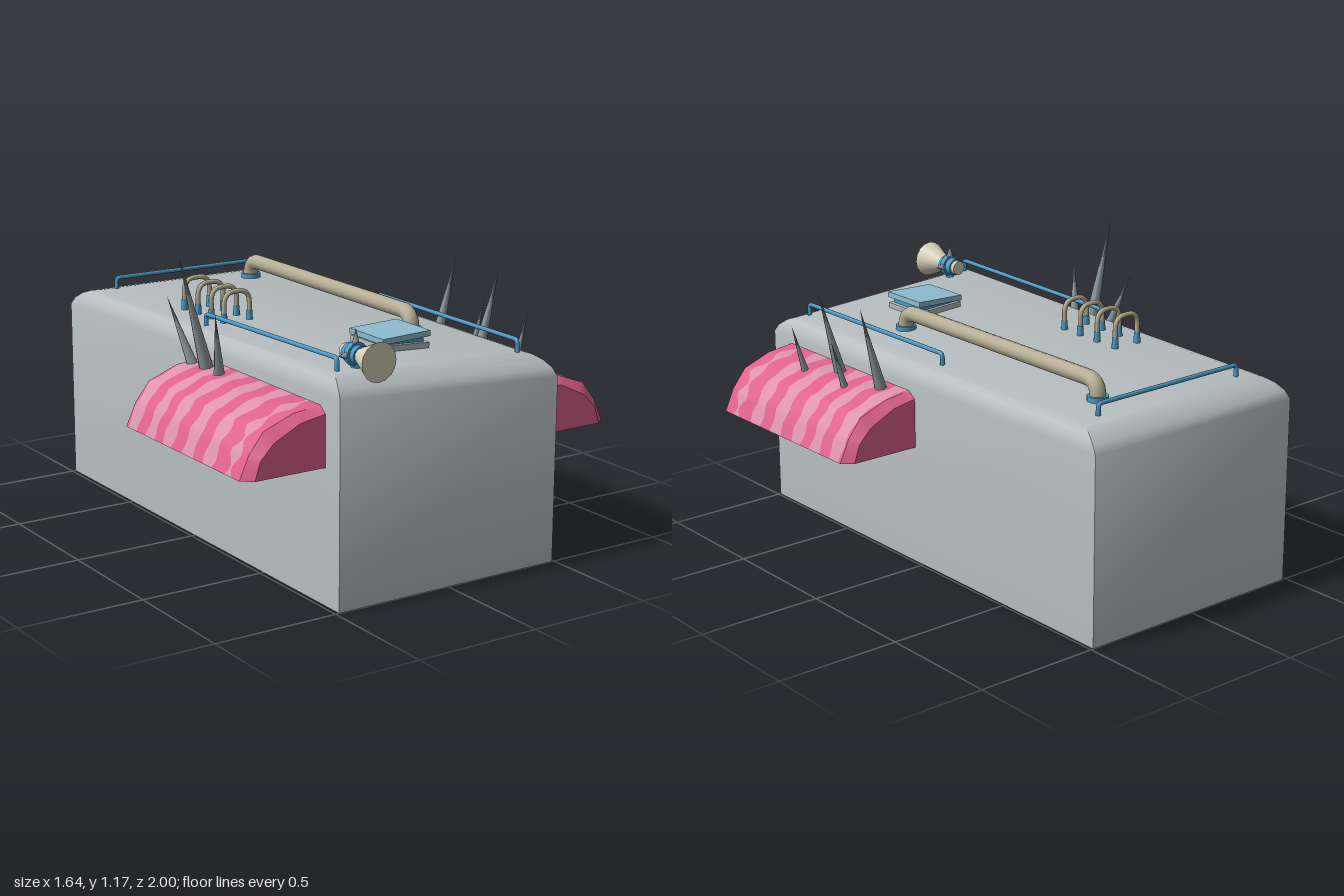
import * as THREE from 'three';
import { toCreasedNormals } from 'three/addons/utils/BufferGeometryUtils.js';

const V = (x, y, z) => new THREE.Vector3(x, y, z);
const paint = (name, color, side = THREE.FrontSide) => {
  const m = new THREE.MeshStandardMaterial({ color, side });
  m.name = name;
  return m;
};

// Height of the slightly twisted roof
const roof = (x, z) => 0.81 + ((z + 1) / 2) * (0.05 - 0.06 * (x + 0.485) / 0.975);

export function createModel() {
  const group = new THREE.Group();
  const grey = paint('hullGrey', 0xb6bdbf);
  const pink = paint('pink', 0xe0628c, THREE.DoubleSide);
  const palePink = paint('palePink', 0xde93ad, THREE.DoubleSide);
  const blue = paint('trimBlue', 0x4b9ac4);
  const lidBlue = paint('lidBlue', 0x8dbccf);
  const beige = paint('pipeBeige', 0xb5ad94);
  const cream = paint('hornCream', 0xd6d2b9);
  const steel = paint('spikeSteel', 0x8c999d);

  const add = (name, geometry, material, parent = group) => {
    const m = new THREE.Mesh(geometry, material);
    m.name = name;
    parent.add(m);
    return m;
  };
  // Cylinder or cone from point a to point b
  const rod = (name, a, b, r0, r1, mat, sides = 12, parent = group) => {
    const d = b.clone().sub(a);
    const m = add(name, new THREE.CylinderGeometry(r1, r0, d.length(), sides), mat, parent);
    m.position.copy(a).add(b).multiplyScalar(0.5);
    m.quaternion.setFromUnitVectors(V(0, 1, 0), d.normalize());
    return m;
  };
  // Tube along a polyline whose corners are rounded by radius c
  const bentTube = (name, pts, c, r, mat, sides, parent = group) => {
    const path = new THREE.CurvePath();
    let last = pts[0];
    for (let i = 1; i < pts.length - 1; i++) {
      const p = pts[i];
      const a = p.clone().add(pts[i - 1].clone().sub(p).setLength(c));
      const b = p.clone().add(pts[i + 1].clone().sub(p).setLength(c));
      path.add(new THREE.LineCurve3(last, a));
      path.add(new THREE.QuadraticBezierCurve3(a, p, b));
      last = b;
    }
    path.add(new THREE.LineCurve3(last, pts[pts.length - 1]));
    return add(name, new THREE.TubeGeometry(path, 96, r, sides), mat, parent);
  };

  // Hull: rectangular rings stacked up to a rounded, sloping roof
  const levels = [[0, 0, null], [0, 0, -0.075], [0.008, 0.022, -0.045], [0.025, 0.06, -0.02],
    [0.045, 0.1, -0.006], [0.07, 0.14, 0]];
  const pos = [], idx = [];
  for (const [ix, iz, drop] of levels) {
    const x0 = -0.485 + ix, x1 = 0.49 - ix, z = 1 - iz;
    for (const [x, zz] of [[x0, z], [x1, z], [x1, -z], [x0, -z]])
      pos.push(x, drop === null ? 0 : roof(x, zz) + drop, zz);
  }
  for (let l = 0; l < levels.length - 1; l++)
    for (let k = 0; k < 4; k++) {
      const a = l * 4 + k, b = l * 4 + (k + 1) % 4;
      idx.push(a, b, b + 4, a, b + 4, a + 4);
    }
  const t = (levels.length - 1) * 4;
  idx.push(t, t + 1, t + 2, t, t + 2, t + 3, 0, 2, 1, 0, 3, 2);
  const hull = new THREE.BufferGeometry();
  hull.setAttribute('position', new THREE.Float32BufferAttribute(pos, 3));
  hull.setIndex(idx);
  add('hull', toCreasedNormals(hull, 0.65), grey);

  // Fenders: striped arched shells, open underneath, with closed ends
  const outer = [[0.48, 0.7], [0.6, 0.685], [0.72, 0.64], [0.78, 0.565], [0.82, 0.477]];
  const inner = [[0.48, 0.675], [0.59, 0.656], [0.7, 0.602], [0.755, 0.546], [0.778, 0.477]];
  const bands = [[0.12, 0.034, 0.15], [0.25, 0.03, 0.2], [0.375, 0.034, 0.2],
    [0.52, 0.036, 0.15], [0.66, 0.034, 0.2], [0.8, 0.02, 0.8]];
  const SUB = 5;
  const refine = (pts) => {
    const out = [];
    for (let i = 0; i < 4; i++)
      for (let k = 0; k < SUB; k++)
        out.push([0, 1].map((c) => pts[i][c] + (pts[i + 1][c] - pts[i][c]) * k / SUB));
    out.push(pts[4]);
    return out;
  };
  const makeFender = (s, lift, name) => {
    const fender = new THREE.Group();
    fender.name = name;
    group.add(fender);
    const o = refine(outer), n = refine(inner), cols = o.length;
    const rows = [[n, () => 0.04], [o, () => 0.075]];
    for (const [c, w, amp] of bands)
      for (const e of [-1, 1])
        rows.push([o, (i) => c + e * w * (1 + amp * Math.sin(i * 1.1 + c * 20))]);
    rows.push([o, () => 0.875], [n, () => 0.91]);
    const p = [], f = [], g = new THREE.BufferGeometry();
    for (const [prof, z] of rows)
      prof.forEach(([x, y], i) => p.push(s * x, y + lift, z(i)));
    for (let j = 0; j < rows.length - 1; j++) {
      const start = f.length;
      for (let i = 0; i < cols - 1; i++) {
        const a = j * cols + i, b = a + 1, c = a + cols, d = c + 1;
        if (s > 0) f.push(a, c, b, b, c, d);
        else f.push(a, b, c, b, d, c);
      }
      const pale = j >= 2 && j < rows.length - 2 && j % 2 === 0;
      g.addGroup(start, f.length - start, pale ? 1 : 0);
    }
    g.setAttribute('position', new THREE.Float32BufferAttribute(p, 3));
    g.setIndex(f);
    add('fenderShell', toCreasedNormals(g, 0.65), [pink, palePink], fender);
    const shape = new THREE.Shape([...inner, [0.48, 0.477]].map(([x, y]) => new THREE.Vector2(s * x, y + lift)));
    for (const z of [0.04, 0.91]) {
      const end = add('fenderEnd', new THREE.ShapeGeometry(shape), pink, fender);
      end.position.z = z;
      if (z < 0.5) { end.rotation.y = Math.PI; end.scale.x = -1; }
    }
  };
  makeFender(1, 0, 'leftFender');
  makeFender(-1, 0.04, 'rightFender');

  // Spikes: base, tip, radius
  const spikes = [
    [V(-0.53, 0.7, 0.19), V(-0.655, 1.17, 0.2), 0.03],
    [V(-0.54, 0.7, 0.11), V(-0.605, 0.98, 0.02), 0.024],
    [V(-0.54, 0.7, 0.29), V(-0.605, 0.98, 0.37), 0.024],
    [V(0.535, 0.67, 0.19), V(0.63, 1.025, 0.19), 0.026],
    [V(0.535, 0.67, 0.46), V(0.63, 1.025, 0.465), 0.026],
    [V(0.605, 0.65, 0.33), V(0.67, 0.87, 0.33), 0.017],
    [V(0.605, 0.65, 0.6), V(0.67, 0.87, 0.6), 0.017],
  ];
  for (const [a, b, r] of spikes) rod('spike', a, b, r, 0, steel, 8);

  // Handrails standing on the roof
  const rail = (x0, z0, x1, z1) => {
    const a = roof(x0, z0), b = roof(x1, z1), h = 0.045;
    bentTube('handrail', [V(x0, a - 0.02, z0), V(x0, a + h, z0), V(x1, b + h, z1), V(x1, b - 0.02, z1)],
      0.015, 0.009, blue, 8);
  };
  rail(0.4, 0.87, 0.4, -0.02);
  rail(-0.41, 0.87, -0.41, -0.02);
  rail(-0.35, -0.845, 0.34, -0.845);

  // Large roof pipe with collars
  bentTube('roofPipe', [V(0.235, 0.8, 0.43), V(0.235, 0.888, 0.43), V(0.235, 0.888, -0.725), V(0.235, 0.8, -0.725)],
    0.06, 0.031, beige, 12);
  for (const z of [0.43, -0.725])
    rod('pipeCollar', V(0.235, 0.8, z), V(0.235, 0.833, z), 0.041, 0.041, blue, 16);

  // Row of small arched hoses with blue feet
  for (const z of [-0.32, -0.215, -0.115, -0.02]) {
    bentTube('hose', [V(-0.33, 0.83, z), V(-0.33, 0.95, z), V(-0.215, 0.95, z), V(-0.215, 0.83, z)],
      0.05, 0.01, beige, 8);
    for (const x of [-0.33, -0.215])
      rod('hoseFoot', V(x, 0.81, z), V(x, 0.868, z), 0.015, 0.012, blue, 10);
  }

  // Roof hatch: tilted base, neck and lid
  const hatch = new THREE.Group();
  hatch.name = 'hatch';
  hatch.position.set(0.015, 0, 0.595);
  group.add(hatch);
  const slab = (name, w, h, y, mat, tilt) => {
    const m = add(name, new THREE.BoxGeometry(w, h, w), mat, hatch);
    m.position.y = y;
    m.rotation.z = tilt;
  };
  slab('hatchBase', 0.21, 0.03, 0.836, grey, -0.06);
  slab('hatchNeck', 0.18, 0.03, 0.853, blue, 0);
  slab('hatchLid', 0.215, 0.022, 0.876, lidBlue, 0.03);

  // Horn with bell, barrel, lugs and mount
  const horn = new THREE.Group();
  horn.name = 'horn';
  horn.position.set(-0.318, 0.895, 0);
  group.add(horn);
  rod('hornBell', V(0, 0, 0.885), V(0, 0, 0.995), 0.028, 0.074, cream, 16, horn);
  rod('hornBarrel', V(0, 0, 0.81), V(0, 0, 0.888), 0.036, 0.036, blue, 12, horn);
  rod('hornRing', V(0, 0, 0.84), V(0, 0, 0.865), 0.045, 0.045, blue, 12, horn);
  rod('hornTail', V(0, 0, 0.79), V(0, 0, 0.815), 0.03, 0.03, cream, 12, horn);
  rod('hornMount', V(0, -0.07, 0.852), V(0, 0, 0.852), 0.02, 0.016, blue, 10, horn);
  for (const [x, y] of [[1, 0], [-1, 0], [0, 1]])
    rod('hornLug', V(x * 0.038, y * 0.038, 0.852), V(x * 0.075, y * 0.095, 0.852), 0.014, 0, steel, 8, horn);

  return group;
}
